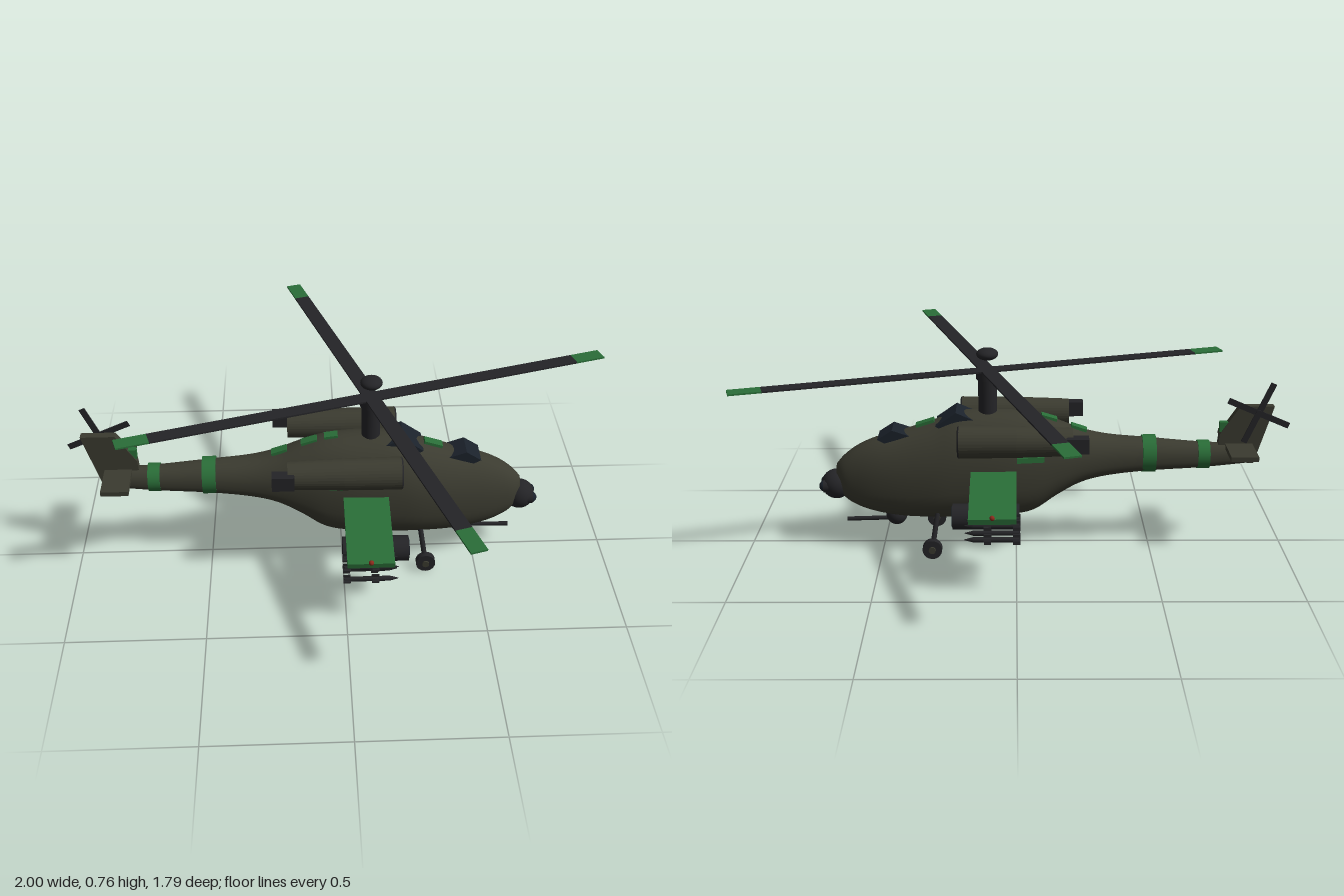
import * as THREE from 'three';

const mat = (color, side = THREE.FrontSide) => new THREE.MeshStandardMaterial({ color, side });
const OLIVE = mat(0x3b3b30), OLIVE2 = mat(0x3b3b30, THREE.DoubleSide);
const DARK = mat(0x242427), GREEN = mat(0x2a6e38), GLASS = mat(0x1b222b), RED = mat(0x8a2a1c);

// Fuselage stations: x, bottom y, top y, half width
const STATIONS = [
  [-0.875, 0.325, 0.395, 0.033], [-0.69, 0.307, 0.4, 0.045], [-0.49, 0.296, 0.417, 0.06],
  [-0.34, 0.28, 0.43, 0.075], [-0.24, 0.255, 0.452, 0.092], [-0.15, 0.205, 0.487, 0.112],
  [-0.06, 0.145, 0.515, 0.13], [0.05, 0.127, 0.525, 0.142], [0.2, 0.12, 0.522, 0.143],
  [0.3, 0.119, 0.487, 0.138], [0.42, 0.122, 0.448, 0.12], [0.52, 0.136, 0.42, 0.098],
  [0.59, 0.158, 0.388, 0.076], [0.64, 0.19, 0.35, 0.054], [0.668, 0.235, 0.318, 0.026],
];

function sampleStations(n) {
  const curves = [1, 2, 3].map(k => new THREE.SplineCurve(STATIONS.map(s => new THREE.Vector2(s[0], s[k]))));
  return Array.from({ length: n + 1 }, (_, i) => {
    const p = curves.map(c => c.getPoint(i / n));
    return [p[0].x, p[0].y, p[1].y, p[2].y];
  });
}

// Height of the fuselage's upper line
function topAt(x) {
  const i = Math.max(1, STATIONS.findIndex(s => s[0] >= x));
  const a = STATIONS[i - 1], b = STATIONS[i];
  return a[2] + (b[2] - a[2]) * (x - a[0]) / (b[0] - a[0]);
}

// Egg-shaped cross-sections joined into one smooth hull
function hullGeometry() {
  const rings = sampleStations(70), m = 40, pos = [], idx = [];
  for (const [x, bottom, top, w] of rings) {
    const yc = bottom + (top - bottom) * 0.43;
    for (let j = 0; j < m; j++) {
      const t = j / m * Math.PI * 2, c = Math.cos(t), s = Math.sin(t);
      const e = s < 0 ? 0.78 : 0.94;
      pos.push(x, yc + Math.sign(s) * Math.abs(s) ** e * (s > 0 ? top - yc : yc - bottom),
        Math.sign(c) * Math.abs(c) ** e * w);
    }
  }
  for (let i = 0; i < rings.length - 1; i++) for (let j = 0; j < m; j++) {
    const a = i * m + j, d = i * m + (j + 1) % m;
    idx.push(a, a + m, d + m, a, d + m, d);
  }
  const last = rings.length - 1, n = pos.length / 3;
  for (const r of [rings[0], rings[last]]) pos.push(r[0], (r[1] + r[2]) / 2, 0);
  for (let j = 0; j < m; j++) {
    const k = (j + 1) % m;
    idx.push(n, j, k, n + 1, last * m + k, last * m + j);
  }
  const g = new THREE.BufferGeometry();
  g.setAttribute('position', new THREE.Float32BufferAttribute(pos, 3));
  g.setIndex(idx);
  g.computeVertexNormals();
  return g;
}

// Side outline extruded symmetrically across the centre line
function plateGeometry(points, width) {
  const shape = new THREE.Shape(points.map(p => new THREE.Vector2(...p)));
  return new THREE.ExtrudeGeometry(shape, { depth: width, bevelEnabled: false }).translate(0, 0, -width / 2);
}

export function createModel() {
  const model = new THREE.Group();
  model.name = 'helicopter';
  const add = (name, geo, material, x = 0, y = 0, z = 0, parent = model) => {
    const mesh = new THREE.Mesh(geo, material);
    mesh.name = name;
    mesh.position.set(x, y, z);
    parent.add(mesh);
    return mesh;
  };
  const box = (...s) => new THREE.BoxGeometry(...s);
  const ball = r => new THREE.SphereGeometry(r, 24, 16);
  const rod = (r0, r1, len, n = 24) => new THREE.CylinderGeometry(r1, r0, len, n);
  const rodX = (r0, r1, len, n) => rod(r0, r1, len, n).rotateZ(-Math.PI / 2);

  add('fuselage', hullGeometry(), OLIVE);

  // Canopy windows
  add('rearCanopy', plateGeometry([[0.14, 0.5], [0.22, 0.535], [0.295, 0.482], [0.2, 0.43]], 0.12), GLASS);
  add('frontCanopy', plateGeometry([[0.385, 0.44], [0.455, 0.464], [0.51, 0.428], [0.42, 0.38]], 0.1), GLASS);

  // Green panels along the spine and bands round the tail boom
  for (const [x, len] of [[-0.23, 0.06], [-0.12, 0.06], [-0.04, 0.05], [0.335, 0.07]]) {
    const slope = (topAt(x + 0.03) - topAt(x - 0.03)) / 0.06;
    add('spinePanel', box(len, 0.014, 0.036), GREEN, x, topAt(x) + 0.002, 0).rotation.z = Math.atan(slope);
  }
  for (const [x, y, ry, rz, len] of [[-0.693, 0.353, 0.053, 0.052, 0.044], [-0.49, 0.357, 0.07, 0.068, 0.05]]) {
    add('tailBand', rodX(1, 1, len, 32), GREEN, x, y, 0).scale.set(1, ry, rz);
  }

  // Tail fin, stabilizer and marker
  add('tailFin', plateGeometry([[-0.945, 0.543], [-0.82, 0.543], [-0.75, 0.435], [-0.74, 0.33], [-0.88, 0.322]], 0.03), OLIVE);
  add('stabilizer', box(0.1, 0.018, 0.31), OLIVE, -0.822, 0.39, 0);
  add('finMarker', box(0.045, 0.038, 0.022), GREEN, -0.772, 0.462, 0);

  // Tail rotor
  const tailRotor = new THREE.Group();
  tailRotor.name = 'tailRotor';
  tailRotor.position.set(-0.885, 0.523, -0.03);
  tailRotor.rotation.z = 0.405;
  model.add(tailRotor);
  add('tailBlade', box(0.245, 0.022, 0.005), DARK, 0, 0, 0, tailRotor);
  add('tailBlade', box(0.022, 0.245, 0.005), DARK, 0, 0, 0, tailRotor);
  add('tailHub', rod(0.012, 0.012, 0.03).rotateX(Math.PI / 2), DARK, 0, 0, 0.008, tailRotor);

  // Main rotor
  add('mast', rod(0.034, 0.034, 0.18), DARK, 0.105, 0.585, 0);
  add('mastCollar', rod(0.041, 0.041, 0.036), DARK, 0.105, 0.665, 0);
  add('sensorDome', ball(0.04), DARK, 0.105, 0.74, 0).scale.y = 0.55;
  const rotor = new THREE.Group();
  rotor.name = 'mainRotor';
  rotor.position.set(0.105, 0.68, 0);
  rotor.rotation.y = 0.296;
  model.add(rotor);
  for (let i = 0; i < 4; i++) {
    const arm = new THREE.Group();
    arm.name = 'rotorBlade';
    arm.rotation.y = i * Math.PI / 2;
    rotor.add(arm);
    add('blade', box(0.81, 0.006, 0.056), DARK, 0.405, 0, 0, arm);
    add('bladeTip', box(0.115, 0.006, 0.056), GREEN, 0.8675, 0, 0, arm);
  }

  // Nose sensor and gun turret
  add('noseSensor', ball(0.056), DARK, 0.673, 0.237, 0);
  for (const z of [-0.026, 0.026]) {
    add('noseLens', rodX(0.024, 0.024, 0.04), DARK, 0.698, 0.237, z);
    add('lensGlass', ball(0.021), GLASS, 0.714, 0.237, z);
  }
  add('gunTurret', ball(0.04), DARK, 0.452, 0.113, 0);
  add('gunBarrel', rodX(0.008, 0.008, 0.18, 12), DARK, 0.55, 0.095, 0).rotation.z = -0.03;

  // Engine shell: outer skin, lip and hollow intake
  const shell = new THREE.LatheGeometry([[0, -0.2], [0.05, -0.2], [0.053, -0.12], [0.057, 0], [0.059, 0.205],
    [0.045, 0.205], [0.04, 0.13], [0, 0.13]].map(p => new THREE.Vector2(...p)), 32).toNonIndexed();
  shell.rotateZ(-Math.PI / 2);
  shell.computeVertexNormals();

  for (const s of [1, -1]) {
    // Engines
    add('engine', shell, OLIVE2, 0, 0.463, s * 0.167);
    add('engineIntake', rodX(0.044, 0.044, 0.01), DARK, 0.14, 0.463, s * 0.167);
    add('intakeRing', new THREE.TorusGeometry(0.051, 0.008, 10, 32).rotateY(Math.PI / 2), DARK, 0.203, 0.463, s * 0.167);
    add('exhaust', box(0.08, 0.055, 0.046), DARK, -0.216, 0.466, s * 0.206);

    // Stub wing with tip light
    add('wing', box(0.165, 0.02, 0.335), GREEN, 0.083, 0.306, s * 0.296).rotation.x = s * 0.14;
    add('wingLight', ball(0.009), RED, 0.083, 0.298, s * 0.464);
    add('sidePanel', box(0.1, 0.02, 0.03), GREEN, -0.05, 0.377, s * 0.115).rotation.y = s * -0.12;

    // Rocket pod
    add('rocketPod', rodX(0.046, 0.046, 0.235), DARK, 0.107, 0.238, s * 0.312);
    add('podFace', rodX(0.037, 0.037, 0.006), GLASS, 0.224, 0.238, s * 0.312);
    add('podPylon', box(0.1, 0.04, 0.016), DARK, 0.09, 0.287, s * 0.312);

    // Missiles with crossed fins
    for (const z of [0.387, 0.441]) for (const y of [0.208, 0.26]) {
      const missile = new THREE.Group();
      missile.name = 'missile';
      missile.position.set(0.07, y, s * z);
      model.add(missile);
      add('missileBody', rodX(0.009, 0.009, 0.16, 12), DARK, 0, 0, 0, missile);
      add('missileNose', rodX(0.009, 0.001, 0.03, 12), DARK, 0.095, 0, 0, missile);
      for (const x of [-0.07, 0.03]) {
        add('fin', box(0.025, 0.038, 0.003), DARK, x, 0, 0, missile);
        add('fin', box(0.025, 0.003, 0.038), DARK, x, 0, 0, missile);
      }
    }

    // Main landing gear
    const a = new THREE.Vector3(0.29, 0.165, s * 0.1), b = new THREE.Vector3(0.308, 0.05, s * 0.143);
    add('gearStrut', new THREE.TubeGeometry(new THREE.LineCurve3(a, b), 1, 0.0095, 12), DARK);
    add('wheel', rod(0.036, 0.036, 0.026, 28).rotateX(Math.PI / 2), DARK, 0.31, 0.036, s * 0.148);
    add('wheelHub', rod(0.013, 0.013, 0.04, 16).rotateX(Math.PI / 2), OLIVE, 0.31, 0.036, s * 0.148);
  }
  return model;
}
